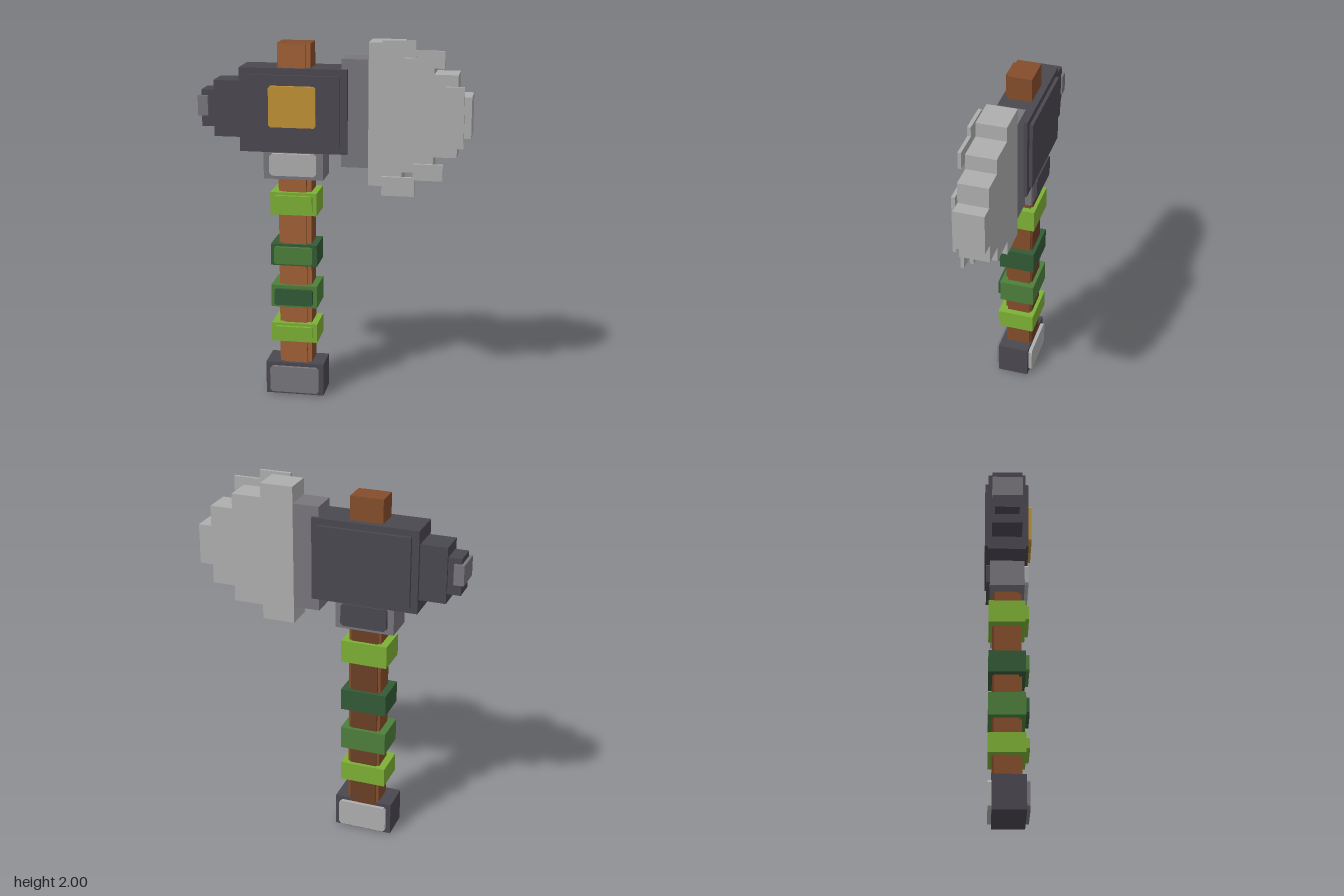
import * as THREE from 'three';

const mat = (name, color) => {
  const m = new THREE.MeshStandardMaterial({ color });
  m.name = name;
  return m;
};

export function createModel() {
  const model = new THREE.Group();
  model.name = 'axeHammer';

  const wood = mat('wood', 0x844d2b);
  const lightWood = mat('lightWood', 0xa06035);
  const darkWood = mat('darkWood', 0x6b3e24);
  const iron = mat('darkIron', 0x4b4850);
  const grey = mat('midGrey', 0x78767c);
  const steel = mat('lightSteel', 0xaeaeae);
  const lime = mat('lime', 0x7db035);
  const green = mat('green', 0x4d7f3b);
  const forest = mat('forestGreen', 0x335a36);
  const gold = mat('gold', 0xc09135);

  // Box given by its limits on each axis
  function box(name, m, x0, x1, y0, y1, z0, z1) {
    const mesh = new THREE.Mesh(new THREE.BoxGeometry(x1 - x0, y1 - y0, z1 - z0), m);
    mesh.position.set((x0 + x1) / 2, (y0 + y1) / 2, (z0 + z1) / 2);
    mesh.name = name;
    model.add(mesh);
  }

  // Plate with clipped corners
  function plate(name, m, x0, x1, y0, y1, z0, z1, c = 0.014) {
    const shape = new THREE.Shape([
      [x0 + c, y0], [x1 - c, y0], [x1, y0 + c], [x1, y1 - c],
      [x1 - c, y1], [x0 + c, y1], [x0, y1 - c], [x0, y0 + c],
    ].map(([x, y]) => new THREE.Vector2(x, y)));
    const geo = new THREE.ExtrudeGeometry(shape, { depth: z1 - z0, bevelEnabled: false });
    const mesh = new THREE.Mesh(geo, m);
    mesh.position.z = z0;
    mesh.name = name;
    model.add(mesh);
  }

  // Handle: core, lighter front and darker back
  box('handle', [wood, wood, wood, wood, lightWood, wood], -0.3, -0.12, 0.1, 1.97, -0.075, 0.055);
  box('handleFront', [wood, wood, wood, wood, lightWood, wood], -0.275, -0.145, 0.1, 1.965, 0.05, 0.07);
  box('handleBack', darkWood, -0.285, -0.135, 0.1, 1.3, -0.085, -0.07);

  // Pommel
  box('pommel', iron, -0.375, -0.05, 0, 0.185, -0.085, 0.09);
  plate('pommelFrontPlate', grey, -0.35, -0.075, 0.015, 0.165, 0.08, 0.108);
  plate('pommelBackPlate', steel, -0.35, -0.075, 0.015, 0.165, -0.105, -0.08);

  // Grip bands: y range, plate y range, band and plate colours
  const bands = [
    [0.313, 0.42, 0.335, 0.405, lime, lime],
    [0.515, 0.64, 0.53, 0.622, green, forest],
    [0.755, 0.875, 0.767, 0.863, forest, green],
    [1.042, 1.167, 1.06, 1.152, lime, lime],
  ];
  for (const [y0, y1, p0, p1, bandMat, plateMat] of bands) {
    box('gripBand', bandMat, -0.34, -0.085, y0, y1, -0.105, 0.09);
    plate('gripBandPlate', plateMat, -0.32, -0.108, p0, p1, 0.08, 0.108, 0.008);
  }

  // Collar under the head
  box('collar', grey, -0.375, -0.05, 1.24, 1.4, -0.1, 0.085);
  plate('collarFrontPlate', steel, -0.34, -0.085, 1.262, 1.383, 0.08, 0.106);
  plate('collarBackPlate', iron, -0.34, -0.085, 1.262, 1.387, -0.12, -0.09);

  // Head block with raised panels and gold inlay
  box('head', iron, -0.503, 0.08, 1.387, 1.84, -0.11, 0.087);
  box('headFrontPanel', iron, -0.465, 0.042, 1.425, 1.805, 0.08, 0.104);
  box('headBackPanel', iron, -0.465, 0.042, 1.425, 1.805, -0.128, -0.1);
  plate('goldInlay', gold, -0.338, -0.085, 1.53, 1.75, 0.1, 0.125, 0.01);

  // Stepped hammer end
  box('hammerStep', iron, -0.648, -0.5, 1.46, 1.765, -0.092, 0.067);
  box('hammerNeck', iron, -0.72, -0.64, 1.51, 1.71, -0.078, 0.05);
  box('hammerTip', grey, -0.737, -0.682, 1.57, 1.68, -0.092, 0.067);

  // Blade: neck, then columns of shrinking height
  box('bladeNeck', grey, 0.045, 0.195, 1.315, 1.895, -0.091, 0.066);
  const columns = [
    [0.19, 0.37, 1.22, 1.985],
    [0.37, 0.535, 1.3, 1.907],
    [0.535, 0.66, 1.387, 1.825],
    [0.66, 0.733, 1.492, 1.712],
  ];
  for (const c of columns) box('blade', steel, ...c, -0.092, 0.067);

  // Thin raised edge along the front of the blade
  const rim = [
    [0.265, 0.44, 1.913, 2.0],
    [0.43, 0.59, 1.86, 1.95],
    [0.59, 0.695, 1.44, 1.765],
    [0.43, 0.59, 1.262, 1.35],
    [0.265, 0.44, 1.172, 1.275],
  ];
  rim.forEach((r, i) => box('bladeRim', steel, ...r, 0.067, i % 2 ? 0.085 : 0.086));

  return model;
}
